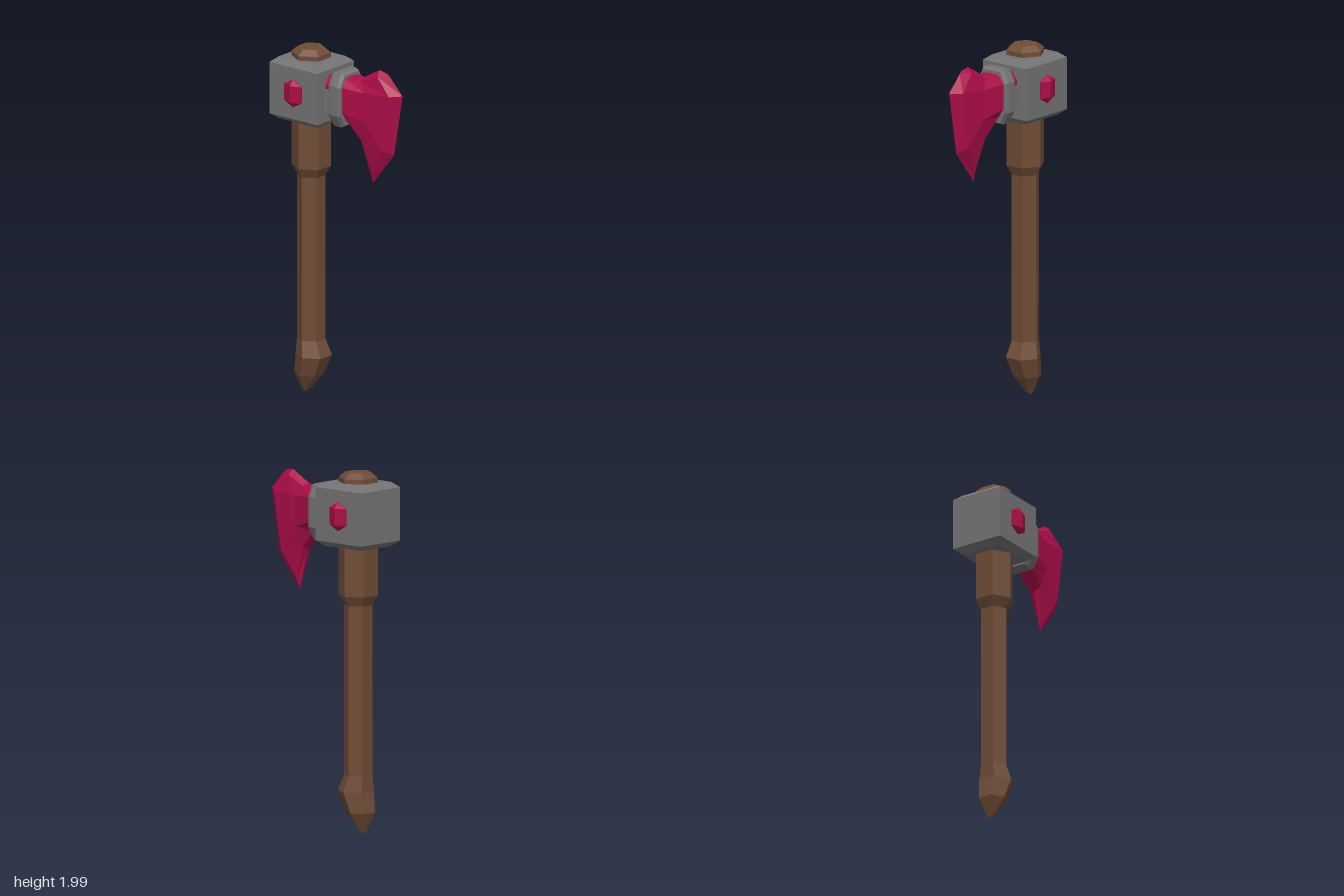
import * as THREE from 'three';

const material = (color) => new THREE.MeshStandardMaterial({ color, flatShading: true });

// Joins rings of [x, y, z] points; rings run counter-clockwise seen from the last ring.
function loft(rings, capEnd = true) {
  const n = rings[0].length;
  const out = [];
  const tri = (a, b, c) => out.push(...a, ...b, ...c);
  for (let r = 0; r < rings.length - 1; r++) {
    const a = rings[r], b = rings[r + 1];
    for (let i = 0; i < n; i++) {
      const j = (i + 1) % n;
      tri(a[i], a[j], b[j]);
      tri(a[i], b[j], b[i]);
    }
  }
  const first = rings[0], last = rings[rings.length - 1];
  for (let i = 1; i < n - 1; i++) {
    tri(first[0], first[i + 1], first[i]);
    if (capEnd) tri(last[0], last[i], last[i + 1]);
  }
  const g = new THREE.BufferGeometry();
  g.setAttribute('position', new THREE.Float32BufferAttribute(out, 3));
  g.computeVertexNormals();
  return g;
}

// Hexagon around the handle, corners on +z and -z, optionally tilted along x
function hexRing(cx, y, radius, tilt = 0) {
  return Array.from({ length: 6 }, (_, i) => {
    const a = Math.PI / 6 + (i * Math.PI) / 3;
    const dx = Math.cos(a) * radius;
    return [cx + dx, y + dx * tilt, -Math.sin(a) * radius];
  });
}

// Rectangle around the hammer block
function rectRing(cx, y, hx, hz) {
  return [[cx + hx, y, hz], [cx + hx, y, -hz], [cx - hx, y, -hz], [cx - hx, y, hz]];
}

// Octagon across x for the collar
function octRing(x, cy, s) {
  const corners = [[0.155, 0.067], [0.085, 0.103], [-0.085, 0.103], [-0.155, 0.067]];
  const half = corners.map(([y, z]) => [x, cy + y * s, z * s]);
  return [...half, ...half.slice().reverse().map(([px, y, z]) => [px, y, -z])];
}

// Blade section: half profile from top to bottom, mirrored in z
function mirrorRing(half) {
  return [...half, ...half.slice(1, -1).reverse().map(([x, y, z]) => [x, y, -z])];
}

export function createModel() {
  const model = new THREE.Group();
  const wood = material(0x6f4c36);
  const metal = material(0x747474);
  const crimson = material(0xae0d48);
  const add = (name, geometry, mat) => {
    const mesh = new THREE.Mesh(geometry, mat);
    mesh.name = name;
    model.add(mesh);
    return mesh;
  };

  // Handle with bent pommel at the bottom and wider grip under the head
  add('handle', loft([
    hexRing(-0.274, 0.015, 0.02, 0.5),
    hexRing(-0.26, 0.12, 0.081),
    hexRing(-0.225, 0.235, 0.101),
    hexRing(-0.243, 0.325, 0.079),
    hexRing(-0.243, 1.265, 0.079),
    hexRing(-0.243, 1.32, 0.11),
    hexRing(-0.243, 1.97, 0.11),
    hexRing(-0.243, 2.0, 0.073),
  ]), wood);

  // Block with chamfered top and bottom
  add('headBlock', loft([
    rectRing(-0.24, 1.59, 0.135, 0.12),
    rectRing(-0.24, 1.62, 0.17, 0.157),
    rectRing(-0.24, 1.915, 0.17, 0.157),
    rectRing(-0.24, 1.945, 0.135, 0.12),
  ]), metal);

  // Collar and the bar joining it to the block
  add('collar', loft([
    octRing(-0.042, 1.76, 0.93),
    octRing(-0.02, 1.76, 1),
    octRing(0.024, 1.76, 1),
    octRing(0.045, 1.76, 0.93),
  ]), metal);
  const bar = add('collarBar', new THREE.BoxGeometry(0.08, 0.125, 0.2), metal);
  bar.position.set(-0.06, 1.748, 0);

  // Blade, flaring from the neck to a sharp edge
  add('blade', loft([
    [[-0.09, 1.89, 0], [-0.09, 1.89, 0.05], [-0.09, 1.84, 0.085],
      [-0.09, 1.71, 0.085], [-0.09, 1.66, 0.05], [-0.09, 1.65, 0]],
    [[0.045, 1.89, 0], [0.045, 1.885, 0.052], [0.045, 1.84, 0.085],
      [0.045, 1.7, 0.085], [0.045, 1.65, 0.052], [0.045, 1.64, 0]],
    [[0.13, 1.9, 0], [0.14, 1.885, 0.037], [0.18, 1.83, 0.057],
      [0.18, 1.66, 0.057], [0.14, 1.545, 0.035], [0.135, 1.53, 0]],
    [[0.245, 1.965, 0], [0.25, 1.935, 0.03], [0.345, 1.84, 0.047],
      [0.295, 1.52, 0.045], [0.205, 1.36, 0.015], [0.195, 1.305, 0]],
    [[0.3, 1.955, 0], [0.315, 1.94, 0], [0.405, 1.845, 0],
      [0.345, 1.495, 0], [0.215, 1.33, 0], [0.195, 1.305, 0]],
  ].map(mirrorRing), false), crimson);

  // Ridged gems on the front and back faces
  const gemOutline = [[0, 0.08], [-0.06, 0.047], [-0.06, -0.047], [0, -0.08], [0.06, -0.047], [0.06, 0.047]];
  const ridge = [0.047, 0.047, -0.047, -0.047, -0.047, 0.047];
  const gem = loft([
    gemOutline.map(([x, y]) => [x, y, -0.01]),
    gemOutline.map(([x, y]) => [x, y, 0.006]),
    ridge.map((y) => [0, y, 0.03]),
  ], false);
  for (const side of [1, -1]) {
    const mesh = add(side > 0 ? 'frontGem' : 'backGem', gem, crimson);
    mesh.position.set(-0.24, 1.77, side * 0.157);
    mesh.rotation.y = side > 0 ? 0 : Math.PI;
  }

  return model;
}
